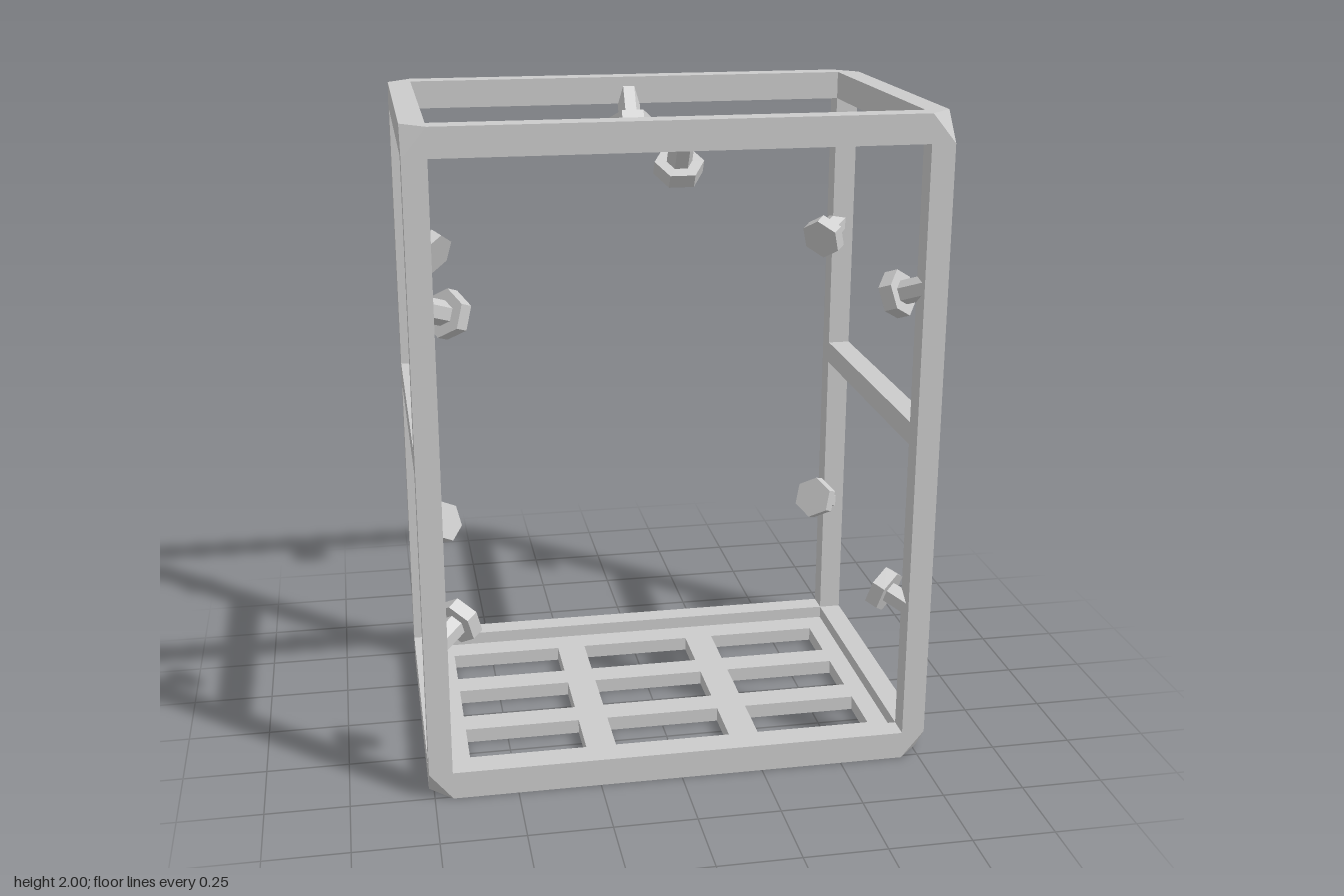
import * as THREE from 'three';
import { ConvexGeometry } from 'three/addons/geometries/ConvexGeometry.js';

const X = 0.765, Z = 0.51, H = 2;            // outer half width, half depth, height
const TX = 0.07, TY = 0.085, TZ = 0.07;      // bar thickness along each axis
const material = new THREE.MeshStandardMaterial({ color: 0xcccccc, flatShading: true });

function add(parent, name, geometry) {
  const mesh = new THREE.Mesh(geometry, material);
  mesh.name = name;
  parent.add(mesh);
  return mesh;
}

// Box given by its minimum and maximum on each axis
function bar(parent, name, x0, x1, y0, y1, z0, z1) {
  const mesh = add(parent, name, new THREE.BoxGeometry(x1 - x0, y1 - y0, z1 - z0));
  mesh.position.set((x0 + x1) / 2, (y0 + y1) / 2, (z0 + z1) / 2);
}

// Corner block: a box with its outermost vertex cut away
function cornerBlock(parent, sx, sy, sz) {
  const points = [];
  for (const i of [0, 1]) for (const j of [0, 1]) for (const k of [0, 1]) {
    if (i + j + k === 3) continue;
    points.push(new THREE.Vector3(
      sx * (X - TX + i * TX),
      H / 2 + sy * (H / 2 - TY + j * TY),
      sz * (Z - TZ + k * TZ)));
  }
  add(parent, 'cornerBlock', new ConvexGeometry(points));
}

// Hexagonal knob: face = centre of the head's face, dir = way it points,
// corner = direction towards one corner of the hexagon
function knob(parent, face, dir, corner) {
  const group = new THREE.Group();
  group.name = 'knob';
  const head = add(group, 'knobHead', new THREE.CylinderGeometry(0.07, 0.07, 0.042, 6));
  head.position.y = -0.021;
  const stem = add(group, 'knobStem', new THREE.CylinderGeometry(0.036, 0.036, 0.1, 6));
  stem.position.y = -0.088;
  const y = dir.clone().normalize();
  const z = corner.clone().addScaledVector(y, -corner.dot(y)).normalize();
  const x = new THREE.Vector3().crossVectors(y, z);
  group.quaternion.setFromRotationMatrix(new THREE.Matrix4().makeBasis(x, y, z));
  group.position.copy(face);
  parent.add(group);
}

// Floor plate with a 3 x 3 grid of rectangular openings
function floorPlate(parent) {
  const w = X - TX, d = Z - TZ;
  const shape = new THREE.Shape([[-w, -d], [w, -d], [w, d], [-w, d]].map(p => new THREE.Vector2(...p)));
  for (const cx of [-0.453, 0, 0.453]) for (const cz of [-0.265, 0, 0.265]) {
    const hx = 0.18, hz = 0.088;
    shape.holes.push(new THREE.Path([[-hx, -hz], [-hx, hz], [hx, hz], [hx, -hz]]
      .map(([a, b]) => new THREE.Vector2(cx + a, cz + b))));
  }
  const geometry = new THREE.ExtrudeGeometry(shape, { depth: 0.045, bevelEnabled: false });
  geometry.rotateX(-Math.PI / 2);
  add(parent, 'floorGrid', geometry);
}

export function createModel() {
  const model = new THREE.Group();
  model.name = 'cageFrame';
  const ix = X - TX, iz = Z - TZ;
  const UP = new THREE.Vector3(0, 1, 0), SIDE = new THREE.Vector3(1, 0, 0);

  // Corner blocks
  for (const sx of [-1, 1]) for (const sy of [-1, 1]) for (const sz of [-1, 1]) cornerBlock(model, sx, sy, sz);

  // Upright posts
  for (const x of [-X, ix]) for (const z of [-Z, iz])
    bar(model, 'post', x, x + TX, TY, H - TY, z, z + TZ);

  // Top and bottom rings
  for (const y of [0, H - TY]) {
    for (const z of [-Z, iz]) bar(model, 'longRail', -ix, ix, y, y + TY, z, z + TZ);
    for (const x of [-X, ix]) bar(model, 'sideRail', x, x + TX, y, y + TY, -iz, iz);
  }

  // Middle rails on the two sides
  for (const x of [-X, ix]) bar(model, 'middleRail', x, x + TX, 1.01, 1.08, -iz, iz);

  floorPlate(model);

  // Knobs on the posts, upper ones tilted down and lower ones tilted up
  const tilt = THREE.MathUtils.degToRad(20);
  const c = Math.cos(tilt) * Math.SQRT1_2;
  for (const sx of [-1, 1]) for (const sz of [-1, 1]) for (const [y, sy] of [[1.455, -1], [0.535, 1]])
    knob(model, new THREE.Vector3(sx * 0.638, y, sz * 0.384),
      new THREE.Vector3(-sx * c, sy * Math.sin(tilt), -sz * c), UP);

  // Knobs under the top rails, pointing inward and down
  for (const sz of [-1, 1])
    knob(model, new THREE.Vector3(0, 1.837, sz * 0.395), new THREE.Vector3(0, -0.85, -sz * 0.52), SIDE);

  return model;
}
